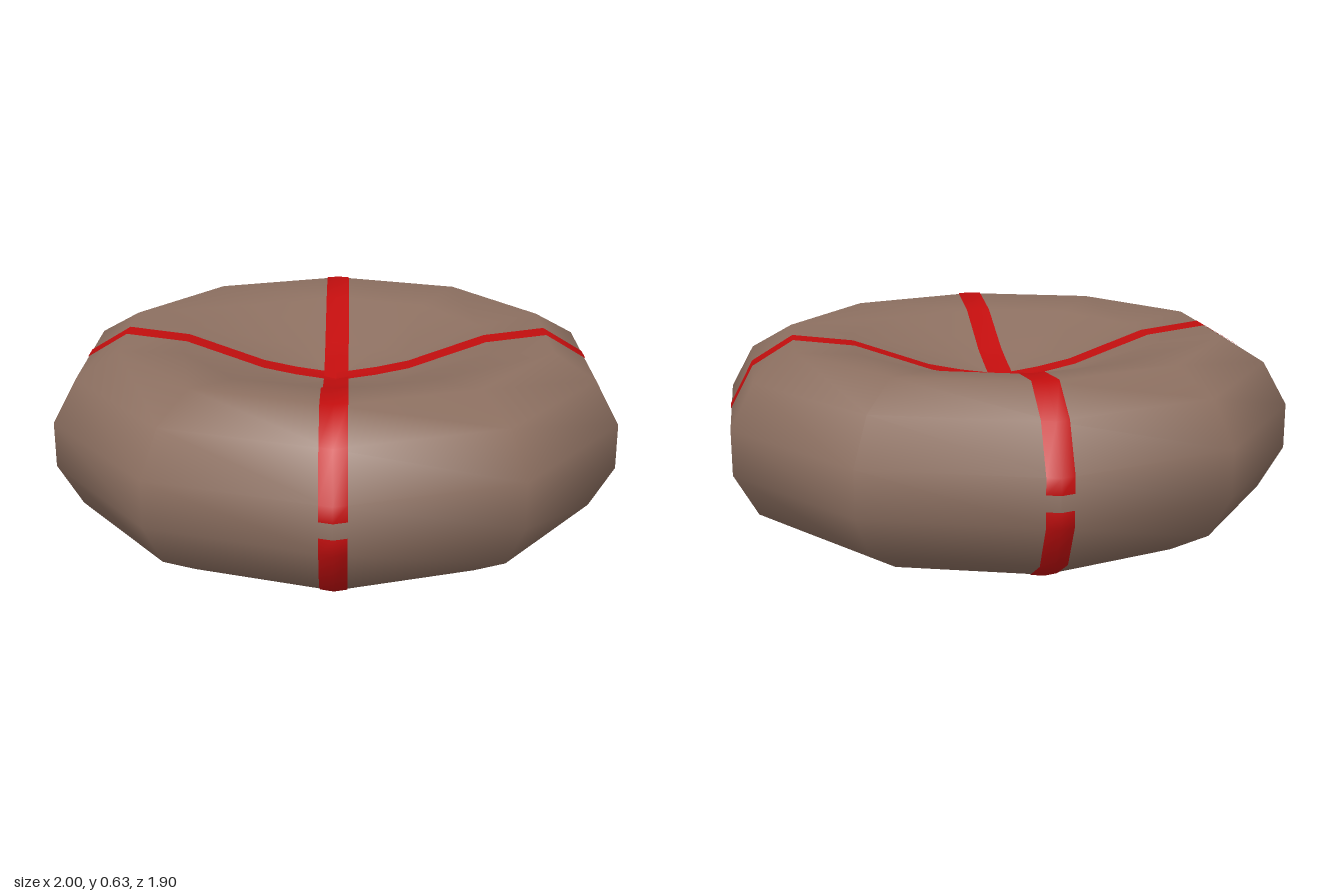
import * as THREE from 'three';

const SIDES = 10;
const HALF = Math.PI / SIDES;
const MID = 0.31; // height of the middle plane

// Upper half of the cross-section from rim to dimple: [corner radius, height above the middle]
const PROFILE = [[1, 0.078], [0.917, 0.226], [0.77, 0.31], [0.55, 0.283], [0.27, 0.187], [0, 0.132]];

// Ten-sided dimpled disc, mirrored above and below the middle plane
function createBody(material) {
  const lower = PROFILE.map(([r, y]) => new THREE.Vector2(r, -y)).reverse();
  const upper = PROFILE.map(([r, y]) => new THREE.Vector2(r, y));
  const geometry = new THREE.LatheGeometry([...lower, ...upper], SIDES, HALF);
  const body = new THREE.Mesh(geometry, material);
  body.name = 'dimpledBody';
  return body;
}

// Thin ribbon hugging the surface from rim to centre, running along +x
function createStripGeometry(alongCorner) {
  const half = 0.0435;
  const lift = 0.003;
  const path = [[1, 0.026], ...PROFILE.slice(0, -1), [0.15, 0.1626]];
  const positions = [];
  const indices = [];

  path.forEach(([r, y], i) => {
    const [r0, y0] = path[Math.max(i - 1, 0)];
    const [r1, y1] = path[Math.min(i + 1, path.length - 1)];
    const length = Math.hypot(r1 - r0, y1 - y0);
    const radius = r + (y1 - y0) / length * lift;
    const height = y + (r0 - r1) / length * lift;
    for (const t of [-half, 0, half]) {
      const x = alongCorner
        ? radius - Math.abs(t) * Math.tan(HALF)
        : radius * Math.cos(HALF);
      positions.push(x, height, t);
    }
  });
  // Last row sits over the centre of the dimple
  for (const t of [-half, 0, half]) {
    positions.push(0, 0.132 + Math.abs(t) * 0.204 + lift, t);
  }

  for (let i = 0; i < path.length; i++) {
    for (let j = 0; j < 2; j++) {
      const a = i * 3 + j;
      const b = a + 3;
      indices.push(a, b, a + 1, b, b + 1, a + 1);
    }
  }
  const geometry = new THREE.BufferGeometry();
  geometry.setAttribute('position', new THREE.Float32BufferAttribute(positions, 3));
  geometry.setIndex(indices);
  geometry.computeVertexNormals();
  return geometry;
}

export function createModel() {
  const brown = new THREE.MeshStandardMaterial({ color: 0x8d7061 });
  brown.name = 'brown';
  const red = new THREE.MeshStandardMaterial({ color: 0xc20e0e });
  red.name = 'red';

  const model = new THREE.Group();
  model.name = 'dimpledDisc';
  const disc = new THREE.Group();
  disc.name = 'disc';
  disc.position.y = MID;
  disc.add(createBody(brown));

  // Crossed strips: one runs over corners, the other over flat sides, on both faces
  const strips = [createStripGeometry(true), createStripGeometry(false)];
  for (let i = 0; i < 4; i++) {
    const arm = new THREE.Group();
    arm.name = 'stripArm' + (i + 1);
    arm.rotation.y = -(Math.PI / 5 + i * Math.PI / 2);
    const top = new THREE.Mesh(strips[i % 2], red);
    top.name = 'topStrip';
    const bottom = new THREE.Mesh(strips[i % 2], red);
    bottom.name = 'bottomStrip';
    bottom.rotation.x = Math.PI;
    arm.add(top, bottom);
    disc.add(arm);
  }

  model.add(disc);
  return model;
}
